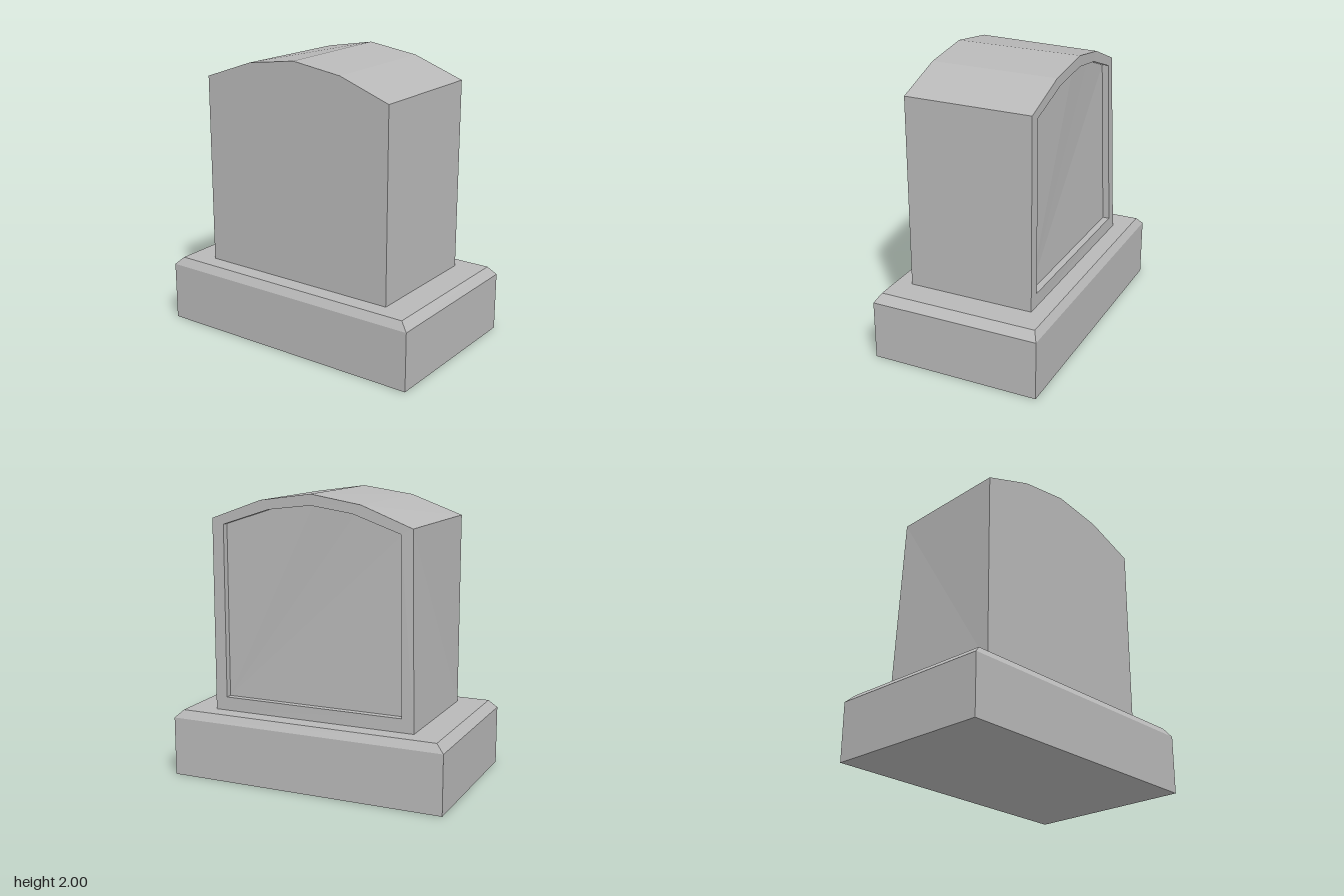
import * as THREE from 'three';

const stone = new THREE.MeshStandardMaterial({ color: 0xb8b8b8 });
stone.name = 'grey stone';

// Skins a series of matching loops and closes both ends; faces stay flat.
// Loops run clockwise as seen from the last loop's side.
function loft(name, loops) {
  const pos = [];
  const tri = (...pts) => pts.forEach((p) => pos.push(...p));
  const n = loops[0].length;
  for (let k = 0; k < loops.length - 1; k++) {
    const a = loops[k], b = loops[k + 1];
    for (let i = 0; i < n; i++) {
      const j = (i + 1) % n;
      tri(a[i], b[i], a[j]);
      tri(b[i], b[j], a[j]);
    }
  }
  const first = loops[0], last = loops[loops.length - 1];
  for (let i = 1; i < n - 1; i++) {
    tri(first[0], first[i], first[i + 1]);
    tri(last[0], last[i + 1], last[i]);
  }
  const geometry = new THREE.BufferGeometry();
  geometry.setAttribute('position', new THREE.Float32BufferAttribute(pos, 3));
  geometry.computeVertexNormals();
  const mesh = new THREE.Mesh(geometry, stone);
  mesh.name = name;
  return mesh;
}

// Rectangle of the plinth at height y
const rectangle = (hx, hz, y) => [[-hx, y, -hz], [hx, y, -hz], [hx, y, hz], [-hx, y, hz]];

// Arched outline given by its foot, shoulder, haunch and crown
function arch(x, hz, foot, shoulder, haunchZ, haunchY, crown) {
  return [
    [x, foot, hz], [x, shoulder, hz], [x, haunchY, haunchZ], [x, crown, 0],
    [x, haunchY, -haunchZ], [x, shoulder, -hz], [x, foot, -hz],
  ];
}

// Worn upper back corner: pulls points inward toward the top and back
function wear([x, y, z]) {
  const w = (Math.max(0, -z) / 0.74) * ((y - 0.47) / 1.34);
  return [x - 0.04 * w, y - 0.015 * w, z + 0.04 * w];
}

export function createModel() {
  const group = new THREE.Group();
  group.name = 'gravestone';

  // Plinth with a chamfered top edge
  group.add(loft('plinth', [
    rectangle(0.6, 0.995, 0),
    rectangle(0.6, 0.995, 0.415),
    rectangle(0.565, 0.938, 0.47),
  ]));

  // Arched slab with a framed, sunken panel on its left side
  const outline = [0.74, 0.47, 1.815, 0.37, 1.948, 2.0];
  const panel = [0.655, 0.565, 1.775, 0.31, 1.887, 1.925];
  group.add(loft('headstone', [
    arch(-0.448, ...outline),
    arch(0.448, ...outline).map(wear),
    arch(0.448, ...panel).map(wear),
    arch(0.4, ...panel).map(wear),
  ]));

  return group;
}
